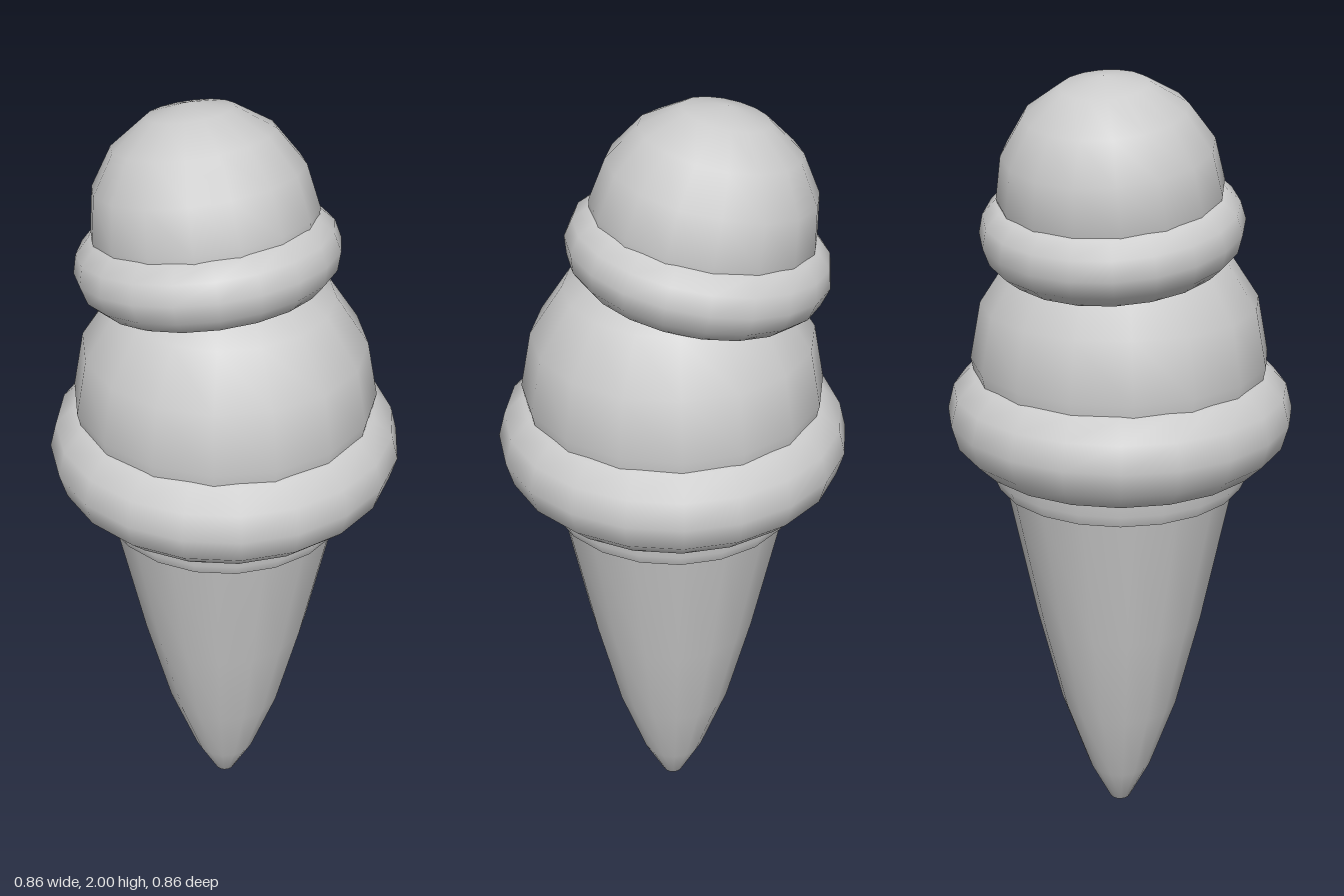
import * as THREE from 'three';

const material = new THREE.MeshStandardMaterial({ color: 0xcccccc, side: THREE.DoubleSide });

function addPart(parent, name, geometry, x = 0, y = 0, tilt = 0) {
  const mesh = new THREE.Mesh(geometry, material);
  mesh.name = name;
  mesh.position.set(x, y, 0);
  mesh.rotation.z = tilt;
  parent.add(mesh);
  return mesh;
}

const lathe = (points, sides) =>
  new THREE.LatheGeometry(points.map(([r, y]) => new THREE.Vector2(r, y)), sides);

// Horizontal soft ring of ice cream
const ring = (radius, tube) =>
  new THREE.TorusGeometry(radius, tube, 12, 20).rotateX(Math.PI / 2);

export function createModel() {
  const model = new THREE.Group();
  model.name = 'iceCreamCone';

  // Tapered wafer with a rounded tip
  addPart(model, 'cone', lathe([
    [0, 0], [0.028, 0.01], [0.085, 0.127], [0.157, 0.34], [0.22, 0.61], [0.296, 1.0],
  ], 16));

  // Thin stepped lip: underside, outer wall and hidden top kept as separate creased bands
  const collar = new THREE.Group();
  collar.name = 'collar';
  addPart(collar, 'collarUnderside', lathe([[0.285, 0.99], [0.313, 0.99]], 20));
  addPart(collar, 'collarWall', lathe([[0.313, 0.99], [0.326, 1.02], [0.328, 1.08]], 20));
  addPart(collar, 'collarTop', lathe([[0.328, 1.08], [0.2, 1.08]], 20));
  model.add(collar);

  // Large lower scoop and its skirt
  addPart(model, 'lowerRing', ring(0.304, 0.126), 0, 1.174);
  addPart(model, 'lowerScoop', new THREE.SphereGeometry(0.367, 16, 8), 0, 1.315);

  // Small upper scoop, leaning to one side
  addPart(model, 'upperRing', ring(0.223, 0.09), -0.06, 1.65, 0.17);
  addPart(model, 'upperScoop', new THREE.SphereGeometry(0.266, 16, 8), -0.071, 1.739, 0.19);

  return model;
}
